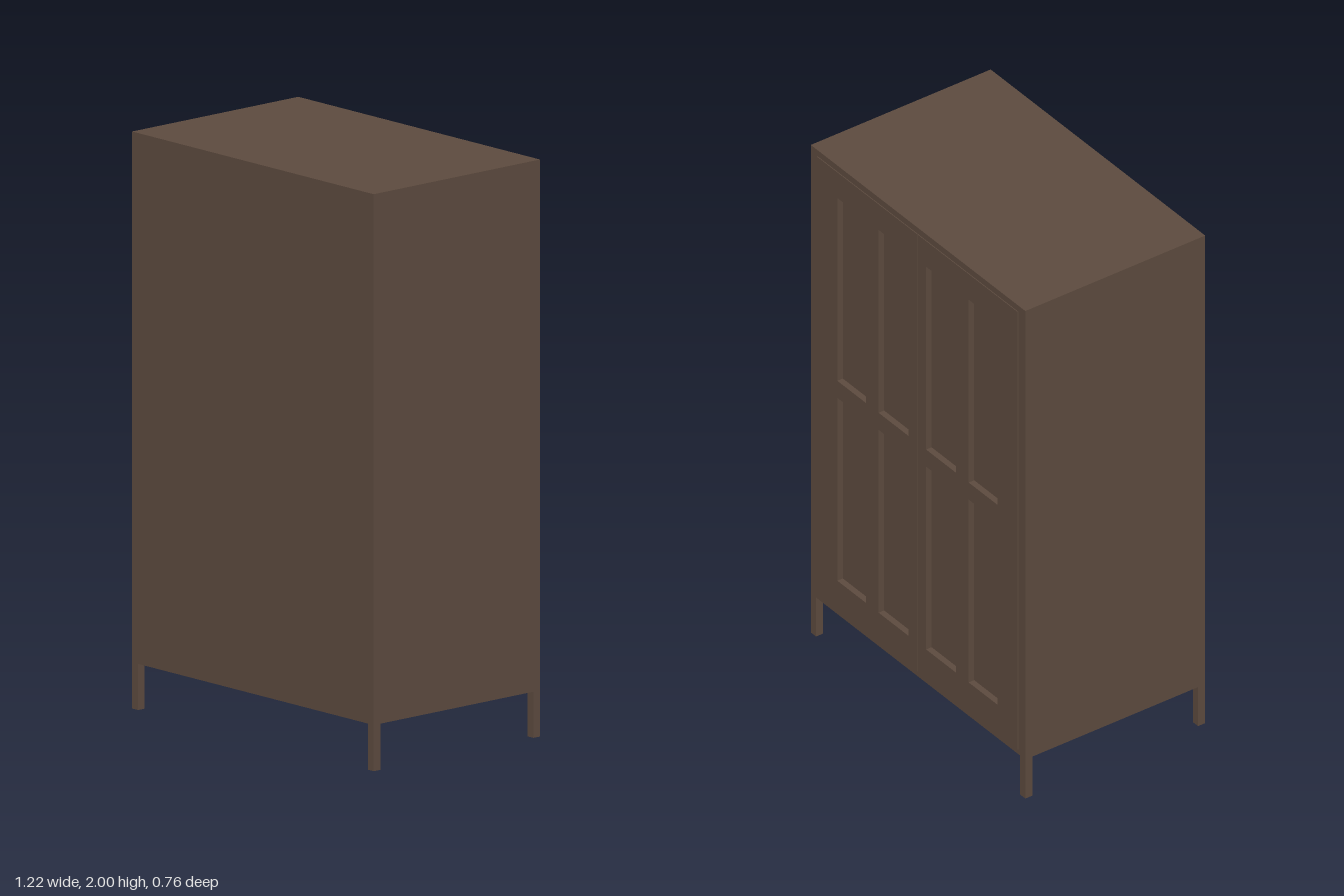
import * as THREE from 'three';

const W = 0.61, BACK = 0.378, BASE = 0.16, TOP = 2;
const CORE = -0.355; // plane of the recessed panels

const material = new THREE.MeshStandardMaterial({ color: 0x5c4a3e });

function rect(target, x0, x1, y0, y1) {
  target.moveTo(x0, y0);
  target.lineTo(x1, y0);
  target.lineTo(x1, y1);
  target.lineTo(x0, y1);
  target.closePath();
  return target;
}

function box(name, x0, x1, y0, y1, z0, z1) {
  const mesh = new THREE.Mesh(new THREE.BoxGeometry(x1 - x0, y1 - y0, z1 - z0), material);
  mesh.position.set((x0 + x1) / 2, (y0 + y1) / 2, (z0 + z1) / 2);
  mesh.name = name;
  return mesh;
}

// Flat board with rectangular openings, standing out from the core towards -z
function board(name, outline, openings, zOuter) {
  const shape = rect(new THREE.Shape(), ...outline);
  for (const o of openings) shape.holes.push(rect(new THREE.Path(), ...o));
  const geometry = new THREE.ExtrudeGeometry(shape, { depth: CORE - zOuter, bevelEnabled: false });
  const mesh = new THREE.Mesh(geometry, material);
  mesh.position.z = zOuter;
  mesh.name = name;
  return mesh;
}

export function createModel() {
  const cabinet = new THREE.Group();
  cabinet.name = 'cabinet';

  // Carcass and the face frame around the doors
  cabinet.add(box('carcass', -W, W, BASE, TOP, CORE, BACK));
  const door = { inner: 0.001, outer: 0.57, bottom: 0.18, top: 1.975 };
  cabinet.add(board('faceFrame', [-W, W, BASE, TOP],
    [[-door.outer, door.outer, door.bottom, door.top]], -0.375));

  // Two doors, each with four recessed panels
  for (const side of [1, -1]) {
    const span = (a, b) => (side > 0 ? [a, b] : [-b, -a]);
    const openings = [];
    for (const [a, b] of [[0.05, 0.22], [0.292, 0.455]])
      for (const [y0, y1] of [[0.3, 1.05], [1.12, 1.87]])
        openings.push([...span(a, b), y0, y1]);
    cabinet.add(board(side > 0 ? 'leftDoor' : 'rightDoor',
      [...span(door.inner, door.outer), door.bottom, door.top], openings, -0.378));
  }

  // Square legs flush with the corners
  const leg = 0.03;
  for (const x of [-W, W - leg])
    for (const z of [-0.375, BACK - leg])
      cabinet.add(box('leg', x, x + leg, 0, BASE, z, z + leg));

  return cabinet;
}
